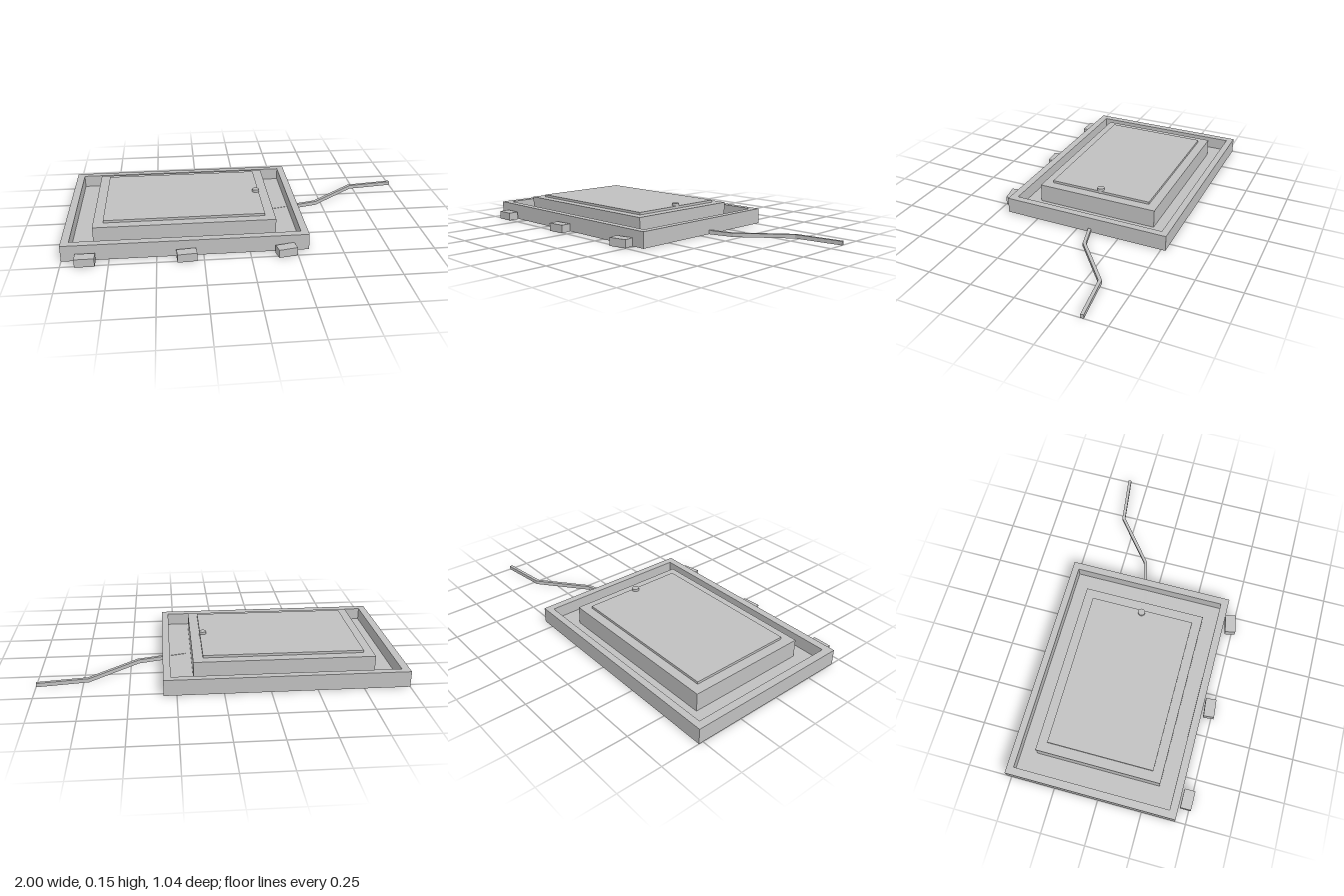
import * as THREE from 'three';

export function createModel() {
  const model = new THREE.Group();
  const grey = new THREE.MeshStandardMaterial({ color: 0xc0c0c0 });
  grey.name = 'plain grey';

  const add = (name, geometry) => {
    const mesh = new THREE.Mesh(geometry, grey);
    mesh.name = name;
    model.add(mesh);
    return mesh;
  };

  // Box given by its limits on each axis
  const block = (name, x0, x1, y0, y1, z0, z1) =>
    add(name, new THREE.BoxGeometry(x1 - x0, y1 - y0, z1 - z0))
      .position.set((x0 + x1) / 2, (y0 + y1) / 2, (z0 + z1) / 2);

  // Plan outline in x, z extruded upward from y = bottom
  const slab = (shape, bottom, height) =>
    new THREE.ExtrudeGeometry(shape, { depth: height, bevelEnabled: false })
      .rotateX(-Math.PI / 2).translate(0, bottom, 0);
  const outline = (points) => points.map(([x, z]) => new THREE.Vector2(x, -z));
  const rect = (x0, x1, z0, z1) => outline([[x0, z0], [x0, z1], [x1, z1], [x1, z0]]);

  // Shallow tray: floor plus raised rim
  const floor = 0.02;
  block('trayFloor', -0.957, 0.28, 0, floor, -0.487, 0.397);
  const rim = new THREE.Shape(rect(-1, 0.32, -0.525, 0.44));
  rim.holes.push(new THREE.Path(rect(-0.957, 0.28, -0.487, 0.397)));
  add('trayRim', slab(rim, 0, 0.09));

  // Raised body with a thin top panel
  block('body', -0.84, 0.157, floor, 0.125, -0.395, 0.313);
  block('topPanel', -0.785, 0.102, 0.125, 0.139, -0.342, 0.26);

  // Small round knob
  add('knob', new THREE.CylinderGeometry(0.02, 0.02, 0.03, 16)).position.set(0.085, 0.139, -0.04);

  // Loose blocks along the front, each turned a little more
  [[-0.872, 0], [-0.341, 0.09], [0.191, 0.2]].forEach(([x, turn], i) => {
    const foot = add('frontBlock' + (i + 1), new THREE.BoxGeometry(0.105, 0.046, 0.06));
    foot.position.set(x, 0.023, 0.48);
    foot.rotation.y = turn;
  });

  // Flat cable running out to the side, with mitred bends
  const path = outline([[0.19, -0.045], [0.46, -0.115], [0.725, -0.33], [1, -0.365]]);
  const half = 0.009;
  const sides = path.map((p, i) => {
    const a = path[Math.max(i - 1, 0)], b = path[Math.min(i + 1, path.length - 1)];
    const dirIn = (i ? p.clone().sub(a) : b.clone().sub(p)).normalize();
    const dirOut = (i < path.length - 1 ? b.clone().sub(p) : dirIn.clone()).normalize();
    const along = dirIn.clone().add(dirOut).normalize();
    const offset = new THREE.Vector2(-along.y, along.x).multiplyScalar(half / along.dot(dirIn));
    return [p.clone().add(offset), p.clone().sub(offset)];
  });
  const cable = new THREE.Shape([...sides.map((s) => s[1]), ...sides.map((s) => s[0]).reverse()]);
  add('cable', slab(cable, 0, 0.022));

  return model;
}
